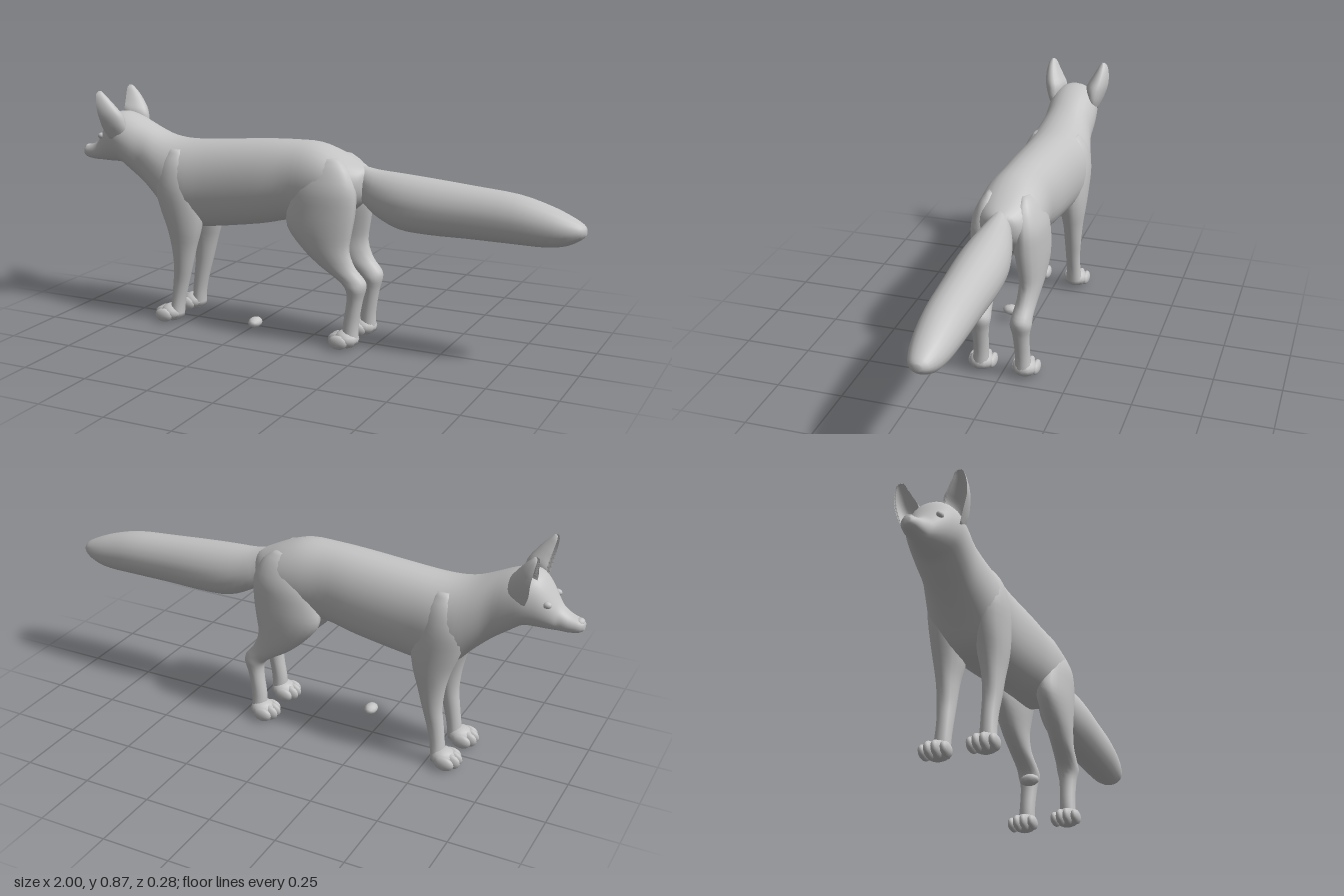
import * as THREE from 'three';

const fur = new THREE.MeshStandardMaterial({ color: 0xc4c4c4 });
fur.name = 'grey fur';

// Catmull-Rom resampling of the section rows
function refine(rows, steps) {
  const out = [];
  for (let i = 0; i < rows.length - 1; i++) {
    const p = [i - 1, i, i + 1, i + 2].map(k => rows[Math.min(Math.max(k, 0), rows.length - 1)]);
    for (let s = 0; s < steps; s++) {
      const t = s / steps;
      out.push(p[1].map((b, k) => {
        const a = p[0][k], c = p[2][k], d = p[3][k];
        return b + 0.5 * t * (c - a + t * (2 * a - 5 * b + 4 * c - d + t * (3 * (b - c) + d - a)));
      }));
    }
  }
  out.push(rows[rows.length - 1]);
  return out;
}

// Skin through oval sections, listed in ascending order along the axis.
// axis 'x' rows: [x, yMin, yMax, zMin, zMax]; axis 'y' rows: [y, zMin, zMax, xMin, xMax]
function loft(name, axis, rows, { n = 20, steps = 3, power = 2, hollow = false } = {}) {
  const rings = refine(rows, steps), pos = [], index = [];
  const place = (t, a, b) => axis === 'x' ? pos.push(t, a, b) : pos.push(b, t, a);
  const round = v => Math.sign(v) * Math.abs(v) ** (2 / power);
  for (const [t, a0, a1, b0, b1] of rings) {
    for (let j = 0; j < n; j++) {
      const w = j / n * Math.PI * 2, c = round(Math.cos(w)), s = round(Math.sin(w));
      // a hollow section is a crescent that opens toward -x
      const q = hollow ? (s > 0 ? 2 * s - 1 : -1.3 * s - 1) : s;
      place(t, (a0 + a1) / 2 + c * (a1 - a0) / 2, (b0 + b1) / 2 + q * (b1 - b0) / 2);
    }
  }
  const m = rings.length;
  for (let i = 0; i < m - 1; i++) {
    for (let j = 0; j < n; j++) {
      const a = i * n + j, b = i * n + (j + 1) % n;
      index.push(a, b, a + n, b, b + n, a + n);
    }
  }
  // end caps
  for (const [r, flip] of [[0, true], [m - 1, false]]) {
    const [t, a0, a1, b0, b1] = rings[r], centre = pos.length / 3;
    place(t, (a0 + a1) / 2, (b0 + b1) / 2);
    for (let j = 0; j < n; j++) {
      const a = r * n + j, b = r * n + (j + 1) % n;
      flip ? index.push(centre, b, a) : index.push(centre, a, b);
    }
  }
  const g = new THREE.BufferGeometry();
  g.setAttribute('position', new THREE.Float32BufferAttribute(pos, 3));
  g.setIndex(index);
  g.computeVertexNormals();
  const mesh = new THREE.Mesh(g, fur);
  mesh.name = name;
  return mesh;
}

function blob(name, x, y, z, rx, ry, rz) {
  const mesh = new THREE.Mesh(new THREE.SphereGeometry(1, 12, 8), fur);
  mesh.position.set(x, y, z);
  mesh.scale.set(rx, ry, rz);
  mesh.name = name;
  return mesh;
}

// Rows [y, zInner, zOuter, xMin, xMax] moved to one side of the body
const onSide = (rows, side) => rows.map(([y, a, b, x0, x1]) =>
  side > 0 ? [y, a, b, x0, x1] : [y, -b, -a, x0, x1]);
// Rows [x, yMin, yMax, halfWidth] for parts on the centre line
const centred = rows => rows.map(([x, y0, y1, w]) => [x, y0, y1, -w, w]);

// Paw with four toes; x is the toe tip
function paw(name, x, side) {
  const g = new THREE.Group(), z = side * 0.083;
  g.name = name;
  g.add(blob('pad', x + 0.068, 0.034, z, 0.046, 0.034, 0.047));
  for (let i = 0; i < 4; i++) {
    const k = i - 1.5, mid = Math.abs(k) < 1;
    g.add(blob('toe', x + (mid ? 0.036 : 0.05), 0.027, z + k * 0.0255, 0.037, mid ? 0.029 : 0.026, 0.0155));
  }
  return g;
}

export function createModel() {
  const fox = new THREE.Group();
  fox.name = 'fox';

  // Muzzle, skull, neck and trunk in one skin
  fox.add(loft('body', 'x', centred([
    [-1.0, 0.603, 0.628, 0.012], [-0.985, 0.592, 0.638, 0.027], [-0.95, 0.586, 0.65, 0.036],
    [-0.92, 0.586, 0.672, 0.041], [-0.9, 0.586, 0.70, 0.053], [-0.87, 0.586, 0.748, 0.07],
    [-0.84, 0.587, 0.778, 0.084], [-0.8, 0.584, 0.785, 0.097], [-0.75, 0.55, 0.772, 0.1],
    [-0.69, 0.505, 0.745, 0.1], [-0.63, 0.45, 0.718, 0.115], [-0.57, 0.39, 0.703, 0.13],
    [-0.5, 0.368, 0.7, 0.133], [-0.4, 0.375, 0.707, 0.126], [-0.2, 0.407, 0.724, 0.12],
    [-0.08, 0.435, 0.73, 0.114], [0.02, 0.435, 0.728, 0.122], [0.1, 0.45, 0.703, 0.122],
    [0.16, 0.49, 0.675, 0.1], [0.2, 0.53, 0.655, 0.066], [0.215, 0.56, 0.645, 0.035]]),
  { n: 28, power: 2.1 }));

  // Brush tail
  fox.add(loft('tail', 'x', centred([
    [0.16, 0.55, 0.665, 0.04], [0.2, 0.52, 0.657, 0.043], [0.25, 0.48, 0.648, 0.062],
    [0.34, 0.442, 0.642, 0.082], [0.45, 0.434, 0.634, 0.088], [0.6, 0.436, 0.622, 0.083],
    [0.76, 0.436, 0.608, 0.078], [0.87, 0.437, 0.58, 0.068], [0.94, 0.45, 0.553, 0.054],
    [0.985, 0.475, 0.53, 0.034], [1.0, 0.492, 0.515, 0.012]])));

  for (const side of [1, -1]) {
    const label = side > 0 ? 'left' : 'right';

    // Shoulder and front leg
    fox.add(loft(label + 'FrontLeg', 'y', onSide([
      [0.02, 0.05, 0.116, -0.57, -0.517], [0.08, 0.051, 0.108, -0.565, -0.511],
      [0.15, 0.05, 0.107, -0.557, -0.495], [0.22, 0.048, 0.113, -0.55, -0.476],
      [0.3, 0.043, 0.12, -0.558, -0.455], [0.37, 0.03, 0.13, -0.575, -0.435],
      [0.45, 0.02, 0.137, -0.605, -0.425], [0.54, 0.02, 0.139, -0.625, -0.44],
      [0.62, 0.03, 0.122, -0.6, -0.47], [0.67, 0.05, 0.09, -0.56, -0.51]], side), { n: 16 }));
    fox.add(paw(label + 'FrontPaw', -0.632, side));

    // Thigh, hock and hind leg
    fox.add(loft(label + 'HindLeg', 'y', onSide([
      [0.02, 0.05, 0.115, 0.155, 0.214], [0.09, 0.051, 0.107, 0.156, 0.214],
      [0.18, 0.046, 0.108, 0.169, 0.228], [0.225, 0.037, 0.117, 0.163, 0.24],
      [0.255, 0.04, 0.116, 0.13, 0.236], [0.3, 0.045, 0.12, 0.06, 0.2],
      [0.36, 0.042, 0.13, -0.01, 0.178], [0.43, 0.03, 0.137, -0.065, 0.187],
      [0.5, 0.02, 0.138, -0.065, 0.197], [0.58, 0.02, 0.133, -0.035, 0.197],
      [0.65, 0.03, 0.105, 0.02, 0.165], [0.685, 0.05, 0.075, 0.07, 0.12]], side), { n: 18 }));
    fox.add(paw(label + 'HindPaw', 0.102, side));

    // Cupped ear
    fox.add(loft(label + 'Ear', 'y', onSide([
      [0.69, 0.055, 0.095, -0.82, -0.77], [0.73, 0.05, 0.113, -0.835, -0.755],
      [0.775, 0.044, 0.127, -0.842, -0.762], [0.81, 0.062, 0.13, -0.848, -0.785],
      [0.84, 0.079, 0.126, -0.853, -0.81], [0.86, 0.09, 0.119, -0.856, -0.83],
      [0.871, 0.101, 0.108, -0.853, -0.842]], side), { n: 20, hollow: true }));

    // Eye swelling
    fox.add(blob(label + 'Eye', -0.883, 0.69, side * 0.056, 0.016, 0.012, 0.012));
  }

  // Nose pad
  fox.add(blob('nose', -0.982, 0.628, 0, 0.017, 0.014, 0.019));

  // Small stone beside the belly
  const stone = new THREE.Mesh(new THREE.IcosahedronGeometry(1, 1), fur);
  stone.position.set(-0.203, 0.043, 0.085);
  stone.scale.set(0.025, 0.02, 0.034);
  stone.name = 'stone';
  fox.add(stone);

  return fox;
}
